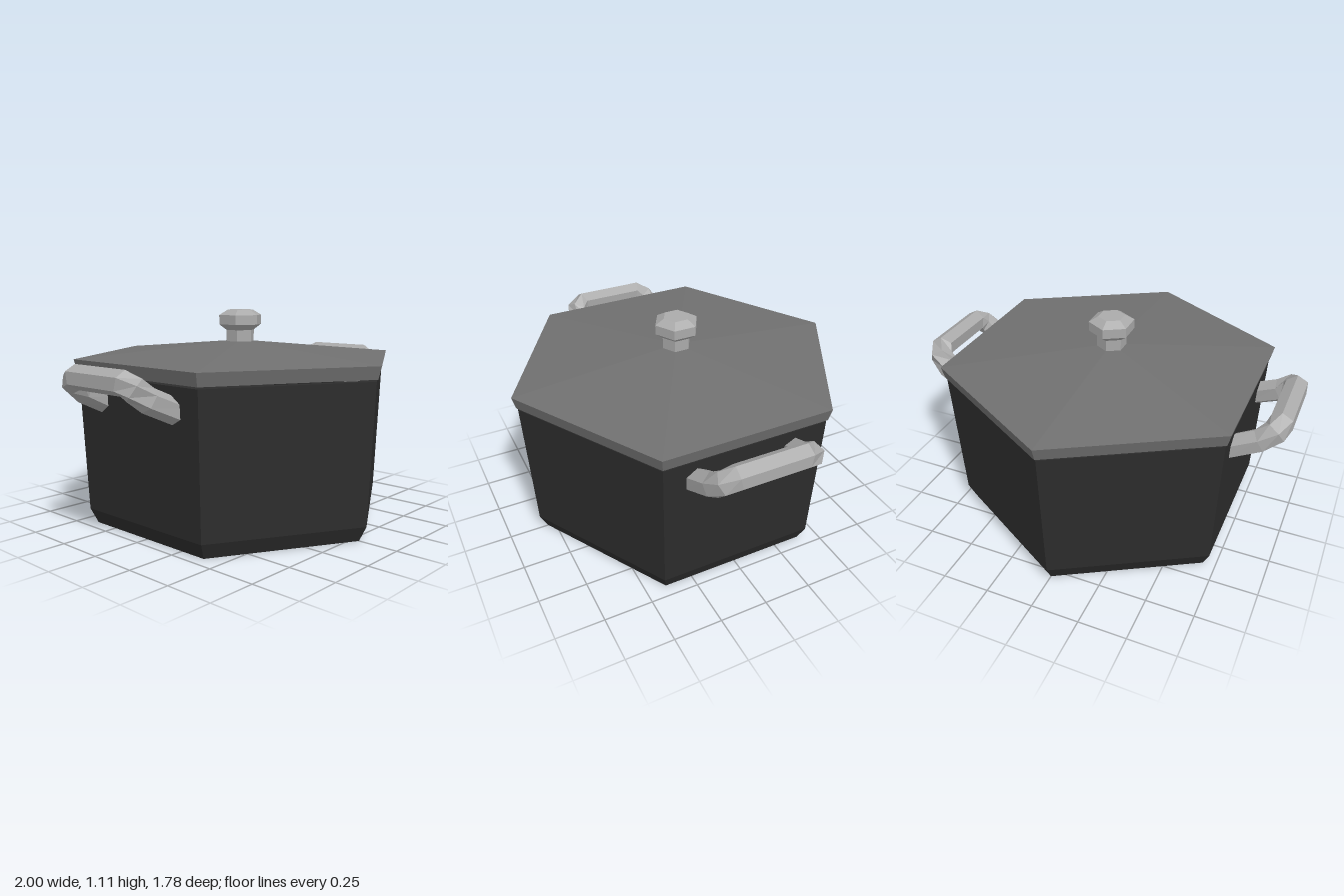
import * as THREE from 'three';

const SIDES = 6;

const material = (color) => new THREE.MeshStandardMaterial({ color, flatShading: true });

// Six-sided solid from a [radius, height] profile, corners on the z axis
function hexLathe(name, profile, mat) {
  const points = profile.map(([r, y]) => new THREE.Vector2(r, y));
  const mesh = new THREE.Mesh(new THREE.LatheGeometry(points, SIDES), mat);
  mesh.name = name;
  return mesh;
}

// Hexagonal bar swept along a path, one ridge kept facing up, ends capped
function hexBar(path, radius) {
  const positions = [];
  const index = [];
  const worldUp = new THREE.Vector3(0, 1, 0);
  path.forEach((p, i) => {
    const before = path[Math.max(i - 1, 0)];
    const after = path[Math.min(i + 1, path.length - 1)];
    const tIn = p.clone().sub(before).normalize();
    const tOut = after.clone().sub(p).normalize();
    const tangent = tIn.add(tOut).normalize();
    const side = tangent.clone().cross(worldUp).normalize();
    const up = side.clone().cross(tangent);
    for (let k = 0; k < SIDES; k++) {
      const a = (k / SIDES) * Math.PI * 2;
      const v = p.clone()
        .addScaledVector(up, Math.cos(a) * radius)
        .addScaledVector(side, Math.sin(a) * radius);
      positions.push(v.x, v.y, v.z);
    }
  });
  for (let i = 0; i < path.length - 1; i++) {
    for (let k = 0; k < SIDES; k++) {
      const a = i * SIDES + k;
      const b = i * SIDES + ((k + 1) % SIDES);
      index.push(a, b, a + SIDES, b, b + SIDES, a + SIDES);
    }
  }
  const last = (path.length - 1) * SIDES;
  for (let k = 1; k < SIDES - 1; k++) {
    index.push(0, k + 1, k, last, last + k, last + k + 1);
  }
  const geometry = new THREE.BufferGeometry();
  geometry.setAttribute('position', new THREE.Float32BufferAttribute(positions, 3));
  geometry.setIndex(index);
  geometry.computeVertexNormals();
  return geometry;
}

export function createModel() {
  const group = new THREE.Group();
  const potMat = material(0x2c2c2c);
  const lidMat = material(0x707070);
  const metalMat = material(0xaaaaaa);

  // Hollow pot with a chamfered foot
  group.add(hexLathe('pot', [
    [0, 0], [0.79, 0], [0.83, 0.08], [0.863, 0.795],
    [0.81, 0.795], [0.78, 0.06], [0, 0.06],
  ], potMat));

  // Shallow pyramid lid with a slanted rim
  group.add(hexLathe('lid', [
    [0, 0.805], [0.87, 0.805], [0.888, 0.87], [0, 0.952],
  ], lidMat));

  // Knob on a short stem
  group.add(hexLathe('knob', [
    [0, 0.93], [0.077, 0.93], [0.077, 1.005], [0.118, 1.035],
    [0.118, 1.085], [0.07, 1.113], [0, 1.113],
  ], metalMat));

  // Upswept loop handles on the two flat sides
  const half = [
    [0.7, 0.665, 0.265], [0.865, 0.74, 0.243], [0.925, 0.79, 0.222], [0.945, 0.818, 0.17],
  ];
  const path = [
    ...half.map(([x, y, z]) => new THREE.Vector3(x, y, z)),
    ...half.slice().reverse().map(([x, y, z]) => new THREE.Vector3(x, y, -z)),
  ];
  const handleGeometry = hexBar(path, 0.062);
  [['leftHandle', 0], ['rightHandle', Math.PI]].forEach(([name, turn]) => {
    const handle = new THREE.Mesh(handleGeometry, metalMat);
    handle.name = name;
    handle.rotation.y = turn;
    group.add(handle);
  });

  return group;
}
